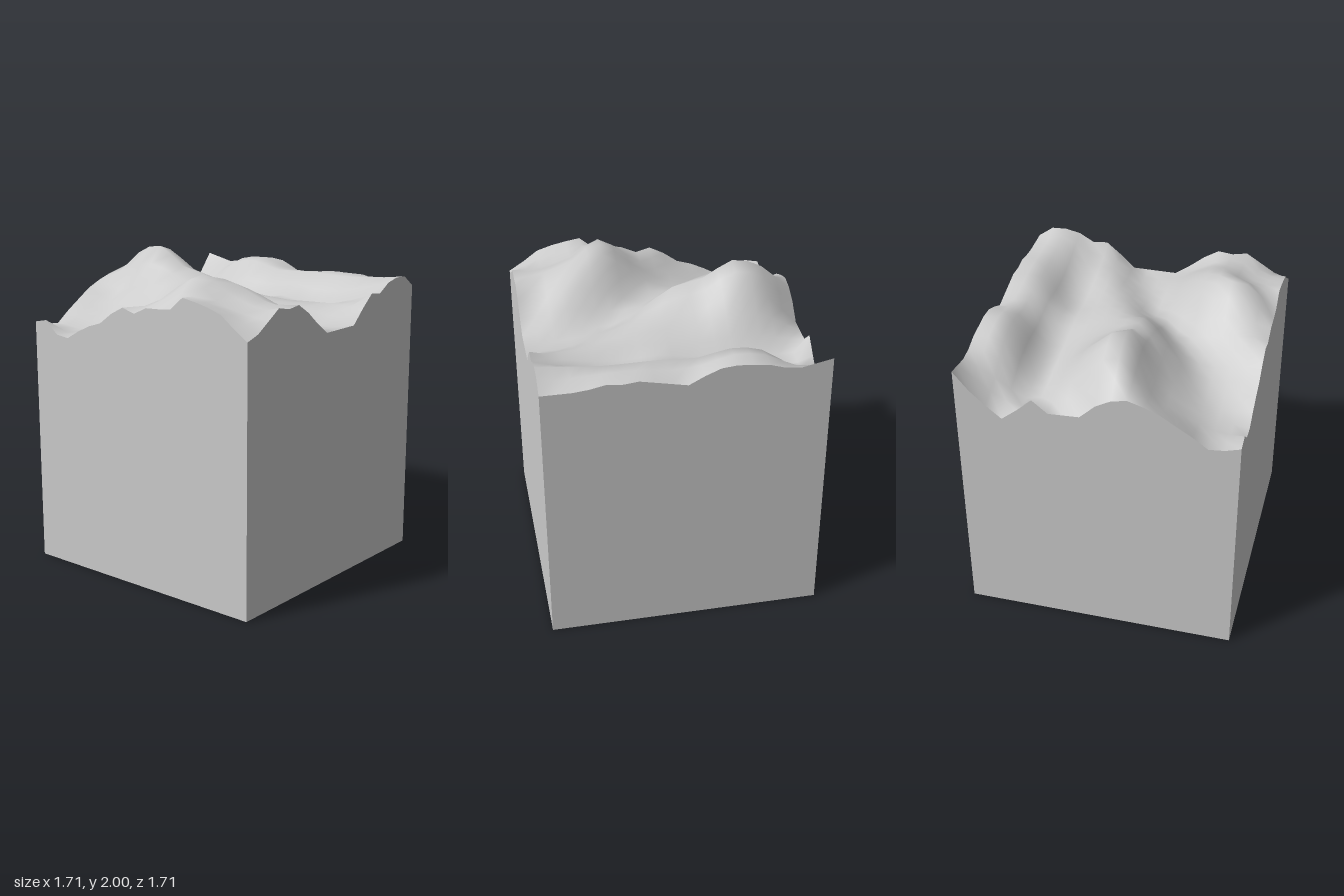
import * as THREE from 'three';

const HALF = 0.856, SEG = 18, STEP = (2 * HALF) / SEG;
const material = new THREE.MeshStandardMaterial({ color: 0xcccccc });

// Coarse ground heights: rows run back to front, columns from -x to +x
const relief = [
  [1.81, 1.77, 1.81, 1.83, 1.78, 1.75, 1.79, 1.79, 1.76, 1.76],
  [1.62, 1.67, 1.80, 1.83, 1.79, 1.80, 1.80, 1.80, 1.82, 1.83],
  [1.58, 1.55, 1.57, 1.60, 1.62, 1.66, 1.63, 1.64, 1.70, 1.76],
  [1.61, 1.64, 1.67, 1.67, 1.67, 1.68, 1.68, 1.69, 1.69, 1.69],
  [1.63, 1.82, 1.88, 1.80, 1.76, 1.74, 1.70, 1.64, 1.59, 1.60],
  [1.78, 1.94, 2.00, 1.89, 1.85, 1.72, 1.62, 1.62, 1.63, 1.60],
  [1.76, 1.72, 1.76, 1.78, 1.70, 1.66, 1.75, 1.80, 1.76, 1.70],
  [1.67, 1.60, 1.60, 1.62, 1.66, 1.78, 1.92, 1.90, 1.83, 1.81],
  [1.54, 1.52, 1.53, 1.60, 1.69, 1.81, 1.94, 1.83, 1.78, 1.76],
  [1.57, 1.51, 1.55, 1.63, 1.75, 1.77, 1.79, 1.85, 1.80, 1.67],
];

// Fine heights along the four rims (left to right, or back to front)
const rim = {
  front: [1.57, 1.59, 1.51, 1.5, 1.555, 1.6, 1.63, 1.7, 1.75, 1.725, 1.77, 1.775, 1.785, 1.865, 1.85, 1.83, 1.8, 1.73, 1.67],
  back: [1.81, 1.79, 1.77, 1.78, 1.81, 1.82, 1.83, 1.82, 1.78, 1.73, 1.75, 1.77, 1.79, 1.78, 1.79, 1.77, 1.76, 1.76, 1.76],
  minX: [1.81, 1.69, 1.6, 1.52, 1.6, 1.69, 1.61, 1.615, 1.62, 1.715, 1.77, 1.79, 1.76, 1.72, 1.66, 1.6, 1.53, 1.54, 1.57],
  plusX: [1.76, 1.83, 1.835, 1.815, 1.76, 1.77, 1.69, 1.6, 1.6, 1.6, 1.6, 1.67, 1.75, 1.81, 1.8, 1.82, 1.76, 1.7, 1.67],
};

// Smooth curve through evenly spaced values
function spline(values, t) {
  const n = values.length - 1, i = Math.min(Math.floor(t), n - 1), f = t - i;
  const [a, b, c, d] = [-1, 0, 1, 2].map((k) => values[THREE.MathUtils.clamp(i + k, 0, n)]);
  return b + 0.5 * f * (c - a + f * (2 * a - 5 * b + 4 * c - d + f * (3 * (b - c) + d - a)));
}

function heightAt(col, row) {
  if (row === 0) return rim.back[col];
  if (row === SEG) return rim.front[col];
  if (col === 0) return rim.minX[row];
  if (col === SEG) return rim.plusX[row];
  const scale = (relief.length - 1) / SEG;
  return Math.min(2, spline(relief.map((line) => spline(line, col * scale)), row * scale));
}

// Rolling ground surface
function makeTerrain() {
  const geometry = new THREE.PlaneGeometry(2 * HALF, 2 * HALF, SEG, SEG).rotateX(-Math.PI / 2);
  const position = geometry.attributes.position;
  for (let i = 0; i < position.count; i++) {
    position.setY(i, heightAt(i % (SEG + 1), Math.floor(i / (SEG + 1))));
  }
  geometry.computeVertexNormals();
  return new THREE.Mesh(geometry, material);
}

// Flat cut face whose top follows a rim
function makeWall(profile, angle) {
  const shape = new THREE.Shape();
  shape.moveTo(-HALF, 0);
  shape.lineTo(HALF, 0);
  for (let i = SEG; i >= 0; i--) shape.lineTo(-HALF + i * STEP, profile[i]);
  const geometry = new THREE.ShapeGeometry(shape).translate(0, 0, HALF).rotateY(angle);
  return new THREE.Mesh(geometry, material);
}

export function createModel() {
  const model = new THREE.Group();
  model.name = 'terrainBlock';
  const add = (name, mesh) => {
    mesh.name = name;
    model.add(mesh);
  };

  add('terrain', makeTerrain());
  add('frontWall', makeWall(rim.front, 0));
  add('backWall', makeWall([...rim.back].reverse(), Math.PI));
  add('leftWall', makeWall([...rim.plusX].reverse(), Math.PI / 2));
  add('rightWall', makeWall(rim.minX, -Math.PI / 2));

  // Underside
  const base = new THREE.PlaneGeometry(2 * HALF, 2 * HALF).rotateX(Math.PI / 2);
  add('base', new THREE.Mesh(base, material));
  return model;
}
